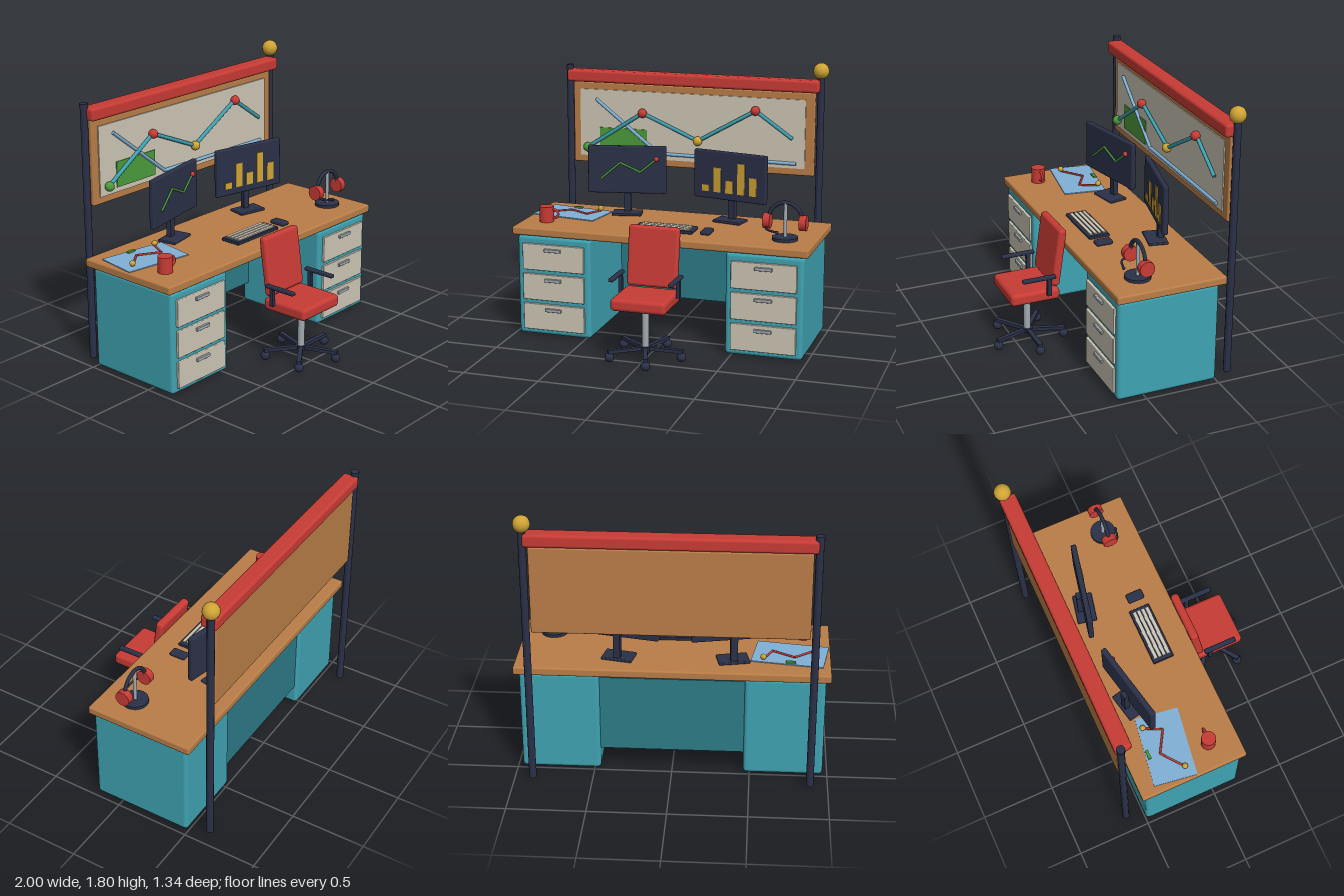
import * as THREE from 'three';
import { RoundedBoxGeometry } from 'three/addons/geometries/RoundedBoxGeometry.js';

const mat = (name, color) => {
  const m = new THREE.MeshStandardMaterial({ color });
  m.name = name;
  return m;
};

export function createModel() {
  const wood = mat('wood', 0xb97d47), red = mat('red', 0xc83b35), teal = mat('teal', 0x3fa3b2);
  const darkTeal = mat('dark teal', 0x2c7b87), cream = mat('cream', 0xcdc6b6), navy = mat('navy', 0x2a3047);
  const grey = mat('grey', 0xa2aab1), yellow = mat('yellow', 0xd0a435), green = mat('green', 0x4c9c3c);
  const blue = mat('light blue', 0x80b0d5);

  const model = new THREE.Group();
  model.name = 'workstation';
  const group = (name, x = 0, y = 0, z = 0, parent = model) => {
    const g = new THREE.Group();
    g.name = name;
    g.position.set(x, y, z);
    parent.add(g);
    return g;
  };
  const add = (parent, name, geo, m, x, y, z) => {
    const mesh = new THREE.Mesh(geo, m);
    mesh.name = name;
    mesh.position.set(x, y, z);
    parent.add(mesh);
    return mesh;
  };
  // Box with softened edges when r > 0
  const box = (parent, name, m, w, h, d, x, y, z, r = 0) =>
    add(parent, name, r ? new RoundedBoxGeometry(w, h, d, 2, r) : new THREE.BoxGeometry(w, h, d), m, x, y, z);
  const ball = (parent, name, m, r, x, y, z) => add(parent, name, new THREE.SphereGeometry(r, 14, 10), m, x, y, z);
  const cyl = (parent, name, m, r, h, x, y, z, sides = 16) =>
    add(parent, name, new THREE.CylinderGeometry(r, r, h, sides), m, x, y, z);
  // Rods joining a list of points
  const rods = (parent, name, m, r, pts) => {
    for (let i = 0; i + 1 < pts.length; i++) {
      const a = new THREE.Vector3(...pts[i]), b = new THREE.Vector3(...pts[i + 1]);
      const dir = b.clone().sub(a), mid = a.clone().lerp(b, 0.5);
      const rod = cyl(parent, name, m, r, dir.length(), mid.x, mid.y, mid.z, 8);
      rod.quaternion.setFromUnitVectors(new THREE.Vector3(0, 1, 0), dir.normalize());
    }
  };

  // Desk with two drawer pedestals
  const desk = group('desk');
  box(desk, 'deskTop', wood, 2, 0.055, 0.735, 0, 0.717, -0.165, 0.012);
  box(desk, 'modestyPanel', darkTeal, 0.94, 0.51, 0.03, 0, 0.405, -0.46);
  for (const s of [-1, 1]) {
    const ped = group(s < 0 ? 'rightPedestal' : 'leftPedestal', s * 0.714, 0, 0, desk);
    box(ped, 'cabinet', teal, 0.51, 0.68, 0.68, 0, 0.347, -0.155, 0.025);
    for (let i = 0; i < 3; i++) {
      const y = 0.134 + i * 0.206;
      box(ped, 'drawerFront', cream, 0.43, 0.18, 0.022, 0, y, 0.189, 0.005);
      box(ped, 'drawerHandle', grey, 0.115, 0.022, 0.02, 0, y + 0.053, 0.205, 0.004);
    }
  }

  // Posts, top rail and pin board
  const wall = group('wallFrame', 0, 0, -0.615);
  for (const s of [-1, 1]) {
    cyl(wall, 'post', navy, 0.024, 1.7, s * 0.887, 0.855, 0, 12);
    cyl(wall, 'postFoot', navy, 0.019, 0.01, s * 0.887, 0.005, 0, 12);
  }
  cyl(wall, 'postCap', navy, 0.027, 0.035, -0.887, 1.698, 0, 12);
  ball(wall, 'postFinial', yellow, 0.054, 0.885, 1.748, 0);
  box(wall, 'topRail', red, 1.77, 0.083, 0.108, 0, 1.648, 0.021, 0.018);
  box(wall, 'boardFrame', wood, 1.71, 0.565, 0.04, 0, 1.32, 0.005, 0.01);
  box(wall, 'boardPaper', cream, 1.595, 0.467, 0.01, -0.005, 1.32, 0.028);
  box(wall, 'greenNote', green, 0.345, 0.17, 0.008, -0.487, 1.205, 0.036);
  rods(wall, 'blueRoute', blue, 0.012, [[-0.685, 1.49, 0.041], [-0.23, 1.13, 0.041], [0.735, 1.12, 0.041]]);
  const route = [[-0.743, 1.15], [-0.342, 1.408], [0.053, 1.237], [0.455, 1.467], [0.71, 1.29]].map(p => [...p, 0.05]);
  rods(wall, 'tealRoute', teal, 0.013, route);
  [green, red, yellow, red].forEach((m, i) => ball(wall, 'routePin', m, 0.032, route[i][0], route[i][1], 0.056));

  // Monitors angled toward the middle
  const monitor = (name, x, turn) => {
    const g = group(name, x, 0.745, -0.35);
    g.rotation.y = turn;
    box(g, 'monitorBase', navy, 0.2, 0.018, 0.13, 0, 0.009, 0, 0.006);
    box(g, 'monitorNeck', navy, 0.045, 0.25, 0.035, 0, 0.13, -0.03);
    box(g, 'monitorPanel', navy, 0.535, 0.327, 0.036, 0, 0.312, 0, 0.01);
    return g;
  };
  const lineMonitor = monitor('rightMonitor', -0.38, 0.21);
  const chart = [[-0.178, 0.25], [-0.046, 0.362], [0.09, 0.298], [0.2, 0.39]].map(p => [...p, 0.022]);
  rods(lineMonitor, 'chartLine', green, 0.007, chart);
  ball(lineMonitor, 'chartMarker', red, 0.017, 0.2, 0.39, 0.024);
  const barMonitor = monitor('leftMonitor', 0.345, -0.21);
  [0.043, 0.166, 0.086, 0.209, 0.123].forEach((h, i) =>
    box(barMonitor, 'chartBar', yellow, 0.053, h, 0.008, -0.176 + i * 0.088, 0.198 + h / 2, 0.02));

  // Keyboard and mouse
  const keyboard = group('keyboard', -0.003, 0.745, -0.022);
  box(keyboard, 'keyboardBody', navy, 0.4, 0.022, 0.143, 0, 0.011, 0, 0.005);
  for (let i = 0; i < 4; i++) box(keyboard, 'keyRow', cream, 0.35, 0.01, 0.021, 0, 0.025, -0.045 + i * 0.03);
  box(model, 'mouse', navy, 0.066, 0.028, 0.115, 0.282, 0.759, -0.012, 0.012);

  // Mug
  const mug = group('mug', -0.83, 0.745, 0.005);
  cyl(mug, 'mugBody', red, 0.048, 0.105, 0, 0.0525, 0, 20);
  add(mug, 'mugHandle', new THREE.TorusGeometry(0.03, 0.009, 8, 20), red, 0.052, 0.056, 0);

  // Map sheet with a marked path
  const sheet = box(model, 'mapSheet', blue, 0.462, 0.006, 0.288, -0.742, 0.749, -0.254);
  sheet.rotation.y = -0.15;
  const path = [[-0.912, -0.198], [-0.77, -0.308], [-0.63, -0.225], [-0.572, -0.342]].map(([x, z]) => [x, 0.757, z]);
  rods(model, 'mapPath', red, 0.007, path);
  for (const i of [0, 3]) ball(model, 'mapPin', yellow, 0.019, path[i][0], 0.772, path[i][2]);
  box(model, 'mapMarker', green, 0.06, 0.012, 0.02, -0.746, 0.757, -0.38);

  // Headset on its stand
  const headset = group('headset', 0.799, 0.745, -0.017);
  cyl(headset, 'standBase', navy, 0.084, 0.02, 0, 0.01, 0, 20);
  cyl(headset, 'standPole', grey, 0.012, 0.24, 0, 0.13, 0, 12);
  add(headset, 'headband', new THREE.TorusGeometry(0.108, 0.013, 8, 28, Math.PI), navy, 0, 0.135, 0);
  for (const s of [-1, 1])
    cyl(headset, 'earCup', red, 0.05, 0.046, s * 0.118, 0.117, 0, 18).rotation.z = Math.PI / 2;
  const boom = new THREE.CatmullRomCurve3([[-0.12, 0.09, 0.02], [-0.11, 0.075, 0.058], [-0.035, 0.062, 0.078]]
    .map(p => new THREE.Vector3(...p)));
  add(headset, 'microphoneBoom', new THREE.TubeGeometry(boom, 12, 0.007, 8), navy, 0, 0, 0);
  ball(headset, 'microphone', navy, 0.011, -0.035, 0.062, 0.078);

  // Swivel chair
  const chair = group('chair', 0, 0, 0.413);
  box(chair, 'seat', red, 0.365, 0.082, 0.335, 0, 0.392, 0, 0.025);
  box(chair, 'backrest', red, 0.34, 0.395, 0.056, 0, 0.635, -0.17, 0.022).rotation.x = -0.14;
  cyl(chair, 'column', grey, 0.023, 0.29, 0, 0.215, 0);
  for (const s of [-1, 1]) {
    box(chair, 'armrest', navy, 0.034, 0.024, 0.228, s * 0.198, 0.531, -0.015, 0.008);
    box(chair, 'armSupport', navy, 0.024, 0.13, 0.028, s * 0.194, 0.465, -0.085);
  }
  cyl(chair, 'hub', navy, 0.035, 0.026, 0, 0.074, 0);
  for (let i = 0; i < 5; i++) {
    const leg = group('chairLeg', 0, 0, 0, chair);
    leg.rotation.y = i * Math.PI * 2 / 5;
    box(leg, 'legBar', navy, 0.25, 0.022, 0.03, 0.125, 0.074, 0);
    ball(leg, 'caster', navy, 0.031, 0.24, 0.037, 0);
  }
  return model;
}
